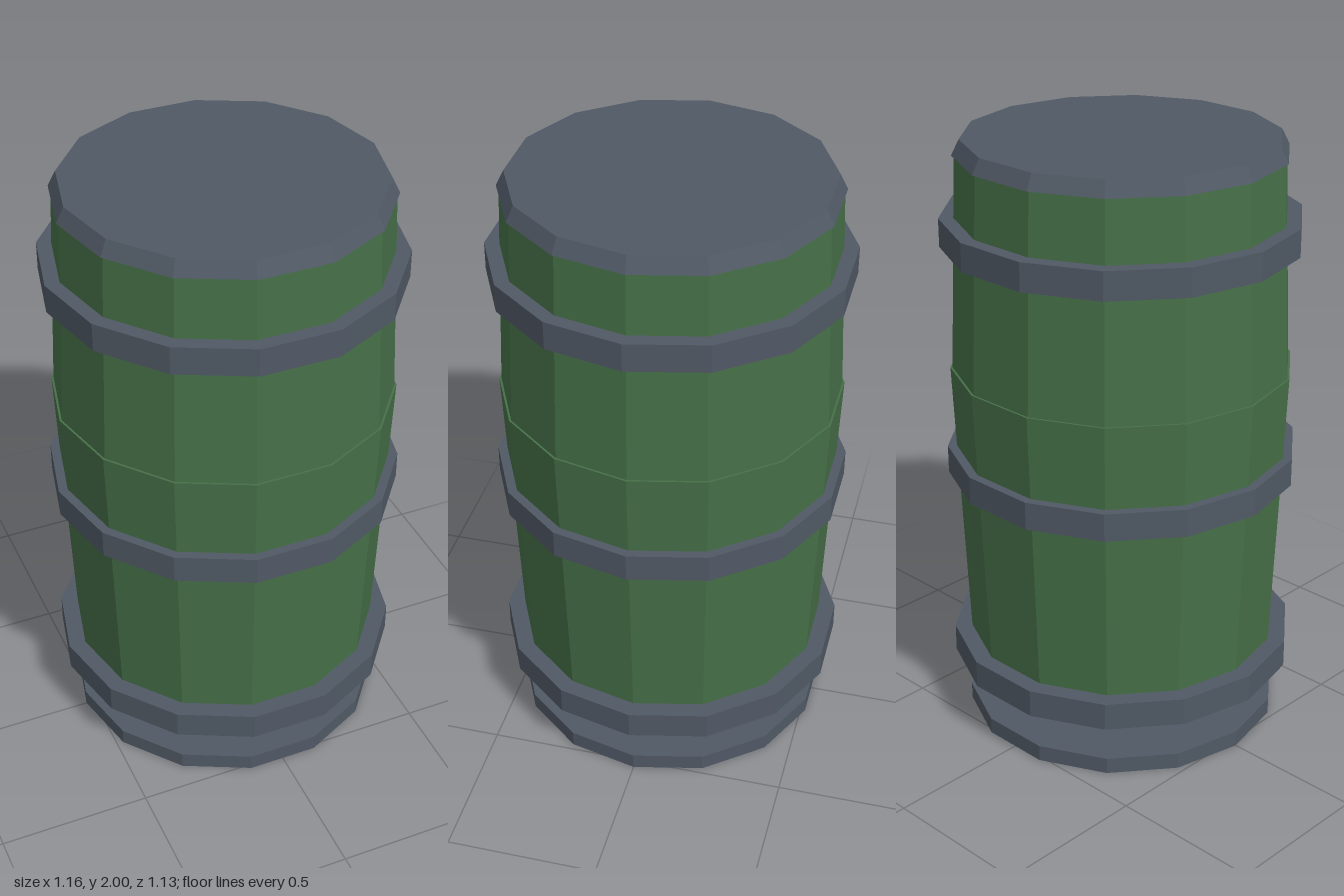
import * as THREE from 'three';

const SIDES = 14;

export function createModel() {
  const group = new THREE.Group();
  group.name = 'barrel';
  const green = new THREE.MeshStandardMaterial({ name: 'green paint', color: 0x467048, flatShading: true });
  const grey = new THREE.MeshStandardMaterial({ name: 'slate grey metal', color: 0x505965, flatShading: true });

  // A closed faceted drum between two heights, with a corner on the x axis
  function drum(name, material, y0, y1, rBottom, rTop) {
    const geometry = new THREE.CylinderGeometry(rTop, rBottom, y1 - y0, SIDES);
    geometry.rotateY(Math.PI / 2);
    const mesh = new THREE.Mesh(geometry, material);
    mesh.name = name;
    mesh.position.y = (y0 + y1) / 2;
    group.add(mesh);
  }

  // Separate base disc
  drum('baseDisc', grey, 0, 0.055, 0.53, 0.53);

  // Body halves, meeting at a small ledge
  drum('lowerBody', green, 0.21, 1.25, 0.517, 0.559);
  drum('upperBody', green, 1.25, 1.95, 0.552, 0.522);

  // Bevelled lid
  drum('lid', grey, 1.95, 2, 0.53, 0.505);

  // Hoops
  [['bottomHoop', 0.2], ['middleHoop', 0.88], ['topHoop', 1.658]].forEach(([name, y]) =>
    drum(name, grey, y, y + 0.093, 0.578, 0.578));

  return group;
}
